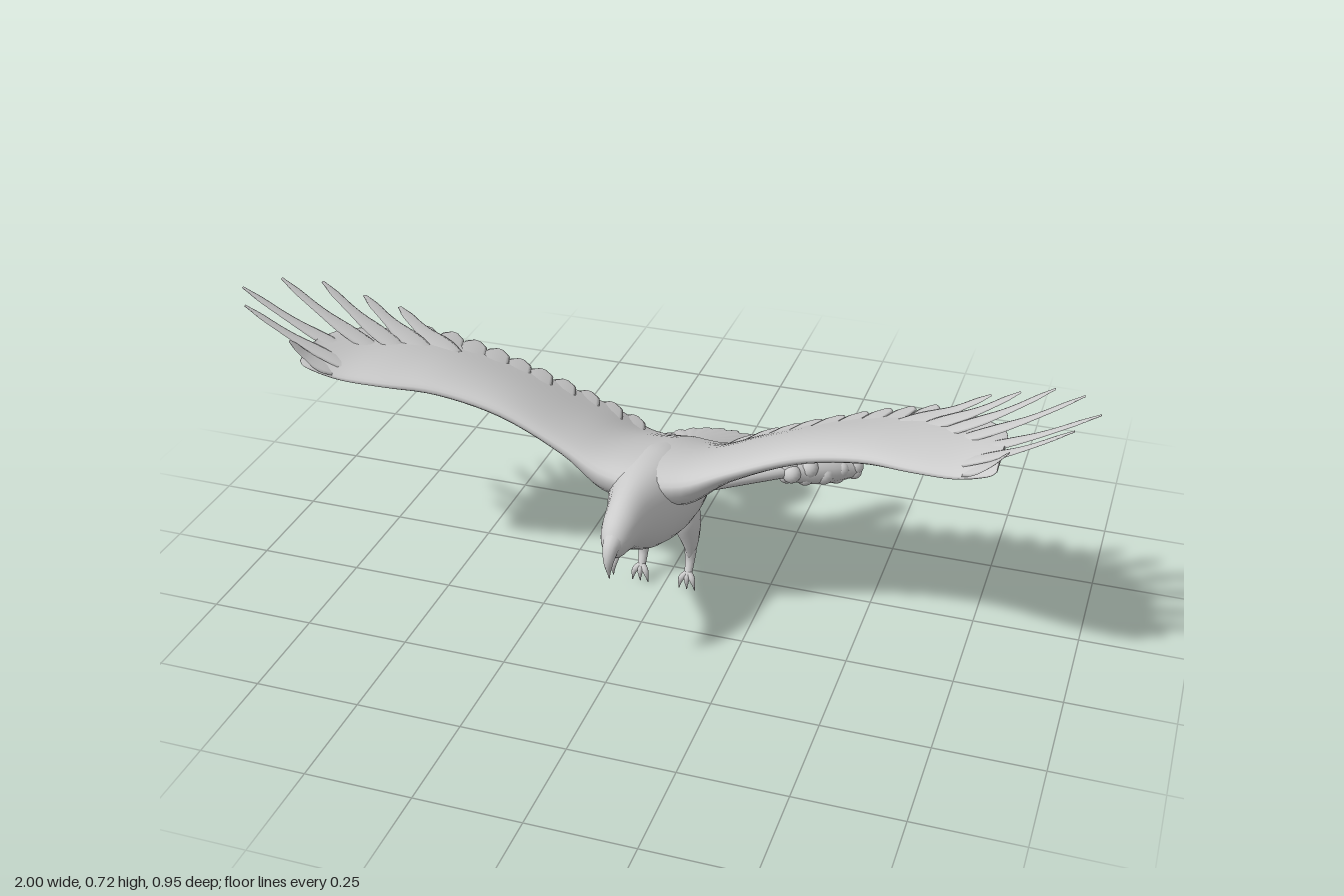
import * as THREE from 'three';

const material = new THREE.MeshStandardMaterial({ color: 0xcccccc });
const V = (x, y, z) => new THREE.Vector3(x, y, z);

function add(parent, geometry, name) {
  const mesh = new THREE.Mesh(geometry, material);
  mesh.name = name;
  parent.add(mesh);
}

// Closed smooth skin over equal-sized rings; faces are turned outward by the sign of the volume.
function loft(rings) {
  const n = rings[0].length, last = rings.length - 1;
  const centre = r => r.reduce((s, p) => s.add(p), V(0, 0, 0)).divideScalar(n);
  const pts = [...rings.flat(), centre(rings[0]), centre(rings[last])];
  const tris = [];
  for (let j = 0; j < n; j++) {
    const k = (j + 1) % n;
    for (let i = 0; i < last; i++) {
      const a = i * n + j, b = i * n + k, c = a + n, d = b + n;
      tris.push([a, b, c], [b, d, c]);
    }
    tris.push([pts.length - 2, k, j], [pts.length - 1, last * n + j, last * n + k]);
  }
  let volume = 0;
  for (const [a, b, c] of tris) volume += pts[a].dot(V(0, 0, 0).crossVectors(pts[b], pts[c]));
  const geometry = new THREE.BufferGeometry().setFromPoints(pts);
  geometry.setIndex(tris.flatMap(t => (volume < 0 ? [t[0], t[2], t[1]] : t)));
  geometry.computeVertexNormals();
  return geometry;
}

// Smooth value along a list, t from 0 to 1
function spline(list, t) {
  const f = t * (list.length - 1), i = Math.min(Math.floor(f), list.length - 2), u = f - i;
  const at = k => list[Math.max(0, Math.min(list.length - 1, k))];
  const a = at(i - 1), b = at(i), c = at(i + 1), d = at(i + 2);
  return b + 0.5 * u * (c - a + u * (2 * a - 5 * b + 4 * c - d + u * (3 * (b - c) + d - a)));
}
const sampleRows = (rows, t) => rows[0].map((_, k) => spline(rows.map(r => r[k]), t));

// Tapered tube with an elliptical section: widths across, widths * depth (or a thinning thickness) along `up`
function limb(points, widths, up, depth = 1, thickness = 0, steps = 12, sides = 12) {
  const curve = new THREE.CatmullRomCurve3(points);
  const rings = [];
  for (let i = 0; i <= steps; i++) {
    const t = i / steps, p = curve.getPoint(t), tan = curve.getTangent(t);
    const side = V(0, 0, 0).crossVectors(tan, up).normalize();
    const nor = V(0, 0, 0).crossVectors(side, tan).normalize();
    const w = Math.max(0.0008, spline(widths, t));
    const h = thickness ? thickness * (1 - 0.7 * t) : w * depth;
    rings.push(Array.from({ length: sides }, (_, j) => {
      const a = (j / sides) * Math.PI * 2;
      return p.clone().addScaledVector(side, w * Math.cos(a)).addScaledVector(nor, h * Math.sin(a));
    }));
  }
  return loft(rings);
}

// Thin blade with a rounded tip
function feather(base, tip, width, profile, up, bend) {
  const mid = base.clone().lerp(tip, 0.55).addScaledVector(up, -bend);
  return limb([base, mid, tip], profile.map(w => w * width), up, 1, 0.004, 18, 8);
}

// Body sections: z, top, bottom, half width
const bodyRows = [
  [0.455, 0.345, 0.315, 0.012], [0.43, 0.375, 0.297, 0.03], [0.4, 0.392, 0.292, 0.04],
  [0.36, 0.407, 0.275, 0.048], [0.31, 0.416, 0.245, 0.06], [0.25, 0.42, 0.212, 0.08],
  [0.18, 0.418, 0.192, 0.1], [0.1, 0.405, 0.18, 0.105], [0, 0.367, 0.171, 0.094],
  [-0.08, 0.328, 0.17, 0.078], [-0.15, 0.291, 0.172, 0.066], [-0.2, 0.263, 0.176, 0.055],
  [-0.25, 0.236, 0.19, 0.042], [-0.3, 0.213, 0.207, 0.02],
];

function makeBody() {
  const rings = [];
  for (let i = 0; i <= 52; i++) {
    const [z, top, bottom, w] = sampleRows(bodyRows, i / 52);
    rings.push(Array.from({ length: 28 }, (_, j) => {
      const a = (j / 28) * Math.PI * 2;
      return V(w * Math.cos(a), (top + bottom) / 2 + ((top - bottom) / 2) * Math.sin(a), z);
    }));
  }
  return loft(rings);
}

// Wing stations: x, leading z, leading y, trailing z, trailing y, upper and lower thickness
const wingRows = [
  [0, 0.275, 0.383, -0.165, 0.283, 0.092, 0.13], [0.1, 0.257, 0.388, -0.155, 0.288, 0.088, 0.13],
  [0.2, 0.236, 0.432, -0.138, 0.347, 0.054, 0.068], [0.35, 0.23, 0.496, -0.09, 0.428, 0.045, 0.045],
  [0.5, 0.245, 0.534, -0.08, 0.48, 0.038, 0.038], [0.62, 0.277, 0.549, -0.052, 0.521, 0.032, 0.032],
  [0.72, 0.299, 0.562, 0.01, 0.555, 0.025, 0.025], [0.79, 0.316, 0.588, 0.1, 0.586, 0.014, 0.014],
  [0.81, 0.31, 0.6, 0.17, 0.6, 0.005, 0.005],
];

// Both wings as one skin from tip to tip, with a thick leading arm and a thin trailing web
function makeWingSkin() {
  const rings = [];
  for (let i = -40; i <= 40; i++) {
    const [x, zl, yl, zt, yt, upper, lower] = sampleRows(wingRows, Math.abs(i) / 40);
    const power = 1 + 0.8 * Math.min(1, x / 0.35), gain = 1.3 * Math.pow(power, 0.4);
    rings.push(Array.from({ length: 36 }, (_, j) => {
      const a = (j / 36) * Math.PI * 2, u = (1 - Math.cos(a)) / 2;
      const bulge = gain * Math.sqrt(u) * Math.pow(1 - u, power), edge = 0.003 * Math.sqrt(u);
      const half = a < Math.PI ? upper * bulge + edge : -lower * bulge - edge;
      return V(Math.sign(i) * x, yl + (yt - yl) * u + 0.012 * Math.sin(Math.PI * u) + half, zl + (zt - zl) * u);
    }));
  }
  return loft(rings);
}

// Long fingers at the wing tip: tip xyz, base xyz, half width
const fingers = [
  [0.83, 0.65, 0.312, 0.74, 0.572, 0.28, 0.021], [0.955, 0.708, 0.282, 0.7, 0.563, 0.25, 0.016],
  [1.0, 0.716, 0.21, 0.7, 0.563, 0.2, 0.017], [0.955, 0.7, 0.106, 0.68, 0.56, 0.15, 0.019],
  [0.885, 0.67, 0.036, 0.64, 0.55, 0.11, 0.021], [0.805, 0.62, -0.02, 0.6, 0.54, 0.07, 0.024],
  [0.735, 0.578, -0.065, 0.55, 0.525, 0.03, 0.026],
];

function makeFeathers(s) {
  const feathers = new THREE.Group();
  for (const [tx, ty, tz, bx, by, bz, w] of fingers)
    add(feathers, feather(V(s * bx, by, bz), V(s * tx, ty, tz), w, [1, 1.4, 1.35, 0.95, 0.75, 0.65, 0.25],
      V(-0.45 * s, 1, 0).normalize(), 0.008), 'primaryFeather');

  // Short overlapping blunt feathers along the trailing edge
  const station = x => {
    const i = wingRows.findIndex(r => r[0] > x), a = wingRows[i - 1], b = wingRows[i];
    return a.map((v, k) => v + (b[k] - v) * (x - a[0]) / (b[0] - a[0]));
  };
  for (let i = 0; i < 10; i++) {
    const x = 0.13 + i * 0.056;
    const [, zl, yl, zt, yt] = station(x), end = station(x + 0.025);
    const base = V(s * (x - 0.01), yl + (yt - yl) * 0.7 + 0.008, zl + (zt - zl) * 0.7);
    const tip = V(s * (x + 0.025), end[4], end[3] - 0.016 - 0.0025 * i);
    add(feathers, feather(base, tip, 0.032, [0.8, 1, 1, 0.95, 0.85, 0.3], V(-0.35 * s, 1, 0).normalize(), 0), 'secondaryFeather');
  }
  return feathers;
}

// Arched fan with a serrated rim, swept from one side to the other
function makeTail() {
  const rings = [];
  for (let i = 0; i <= 88; i++) {
    const e = i / 44 - 1, a = e * 0.64;
    const notch = 0.03 * Math.pow(Math.abs(Math.cos(e * Math.PI * 5.5)), 3);
    const rim = 0.348 - 0.062 * e * e - notch * (1 - 0.3 * Math.abs(e));
    rings.push(Array.from({ length: 24 }, (_, j) => {
      const b = (j / 24) * Math.PI * 2, u = (1 - Math.cos(b)) / 2, r = 0.03 + (rim - 0.03) * u;
      const z = -0.13 - r * Math.cos(a);
      const y = 0.288 + (z + 0.13) * 0.43 - 0.045 * e * e * u + Math.sin(b) * (0.005 - 0.002 * u);
      return V(Math.sin(a) * r, y, z);
    }));
  }
  return loft(rings);
}

function makeLeg(s) {
  const leg = new THREE.Group(), x = 0.06 * s, front = V(0, 0, 1);
  add(leg, limb([V(0.02 * s, 0.25, 0.052), V(0.048 * s, 0.185, 0.053), V(x, 0.125, 0.053), V(x, 0.08, 0.052)],
    [0.036, 0.034, 0.02, 0.01], front, 1.55), 'thigh');
  add(leg, limb([V(x, 0.105, 0.053), V(x, 0.07, 0.058), V(x, 0.036, 0.076)], [0.016, 0.012, 0.01], front), 'shank');
  for (const dx of [-0.02, 0, 0.02])
    add(leg, limb([V(x, 0.045, 0.072), V(x + dx * 0.7, 0.032, 0.084), V(x + dx, 0.002, 0.084)],
      [0.008, 0.0075, 0.001], front, 1, 0, 8, 8), 'toe');
  add(leg, limb([V(x, 0.045, 0.07), V(x, 0.03, 0.068), V(x, 0.014, 0.075)], [0.008, 0.006, 0.001], front, 1, 0, 8, 8), 'rearToe');
  return leg;
}

// Rod ending in a lumpy head
function makeRod(s) {
  const rod = new THREE.Group(), up = V(0, 1, 0);
  const start = V(0.088 * s, 0.238, -0.03), neck = V(0.235 * s, s > 0 ? 0.205 : 0.19, -0.205), end = V(0.37 * s, 0.167, -0.335);
  add(rod, limb([start, start.clone().lerp(neck, 0.5), neck], [0.013, 0.0135, 0.014], up), 'rodShaft');
  add(rod, new THREE.SphereGeometry(0.013, 12, 8).translate(...start.toArray()), 'rodEnd');
  add(rod, limb([neck, neck.clone().lerp(end, 0.5), end], [0.026, 0.034, 0.034, 0.024], up), 'lumpyHeadCore');
  const dir = end.clone().sub(neck).normalize(), side = V(0, 0, 0).crossVectors(dir, up).normalize();
  const nor = V(0, 0, 0).crossVectors(side, dir);
  for (let i = 0; i < 5; i++) for (let j = 0; j < 3; j++) {
    const a = ((j + i * 0.4) / 3) * Math.PI * 2, r = [0.013, 0.016, 0.014, 0.014, 0.008][i];
    const p = neck.clone().lerp(end, i / 4).addScaledVector(side, r * Math.cos(a)).addScaledVector(nor, r * Math.sin(a));
    const size = 0.0235 + 0.003 * Math.sin(i * 2.3 + j * 1.7);
    add(rod, new THREE.SphereGeometry(size, 16, 12).translate(p.x, p.y, p.z), 'lump');
  }
  return rod;
}

export function createModel() {
  const bird = new THREE.Group();
  bird.name = 'soaringBird';
  add(bird, makeBody(), 'body');
  add(bird, makeTail(), 'tailFan');
  add(bird, makeWingSkin(), 'wings');

  // Open hooked beak
  const up = V(0, 1, 0.3).normalize();
  add(bird, limb([V(0, 0.34, 0.425), V(0, 0.333, 0.45), V(0, 0.305, 0.465), V(0, 0.262, 0.462)],
    [0.026, 0.019, 0.011, 0.001], up, 1.1), 'upperBeak');
  add(bird, limb([V(0, 0.312, 0.405), V(0, 0.3, 0.425), V(0, 0.283, 0.437), V(0, 0.255, 0.434)],
    [0.02, 0.013, 0.008, 0.001], up, 0.8), 'lowerBeak');

  for (const s of [1, -1]) {
    const label = s > 0 ? 'left' : 'right';
    for (const [make, part] of [[makeFeathers, 'WingFeathers'], [makeLeg, 'Leg'], [makeRod, 'Rod']]) {
      const group = make(s);
      group.name = label + part;
      bird.add(group);
    }
  }
  return bird;
}
